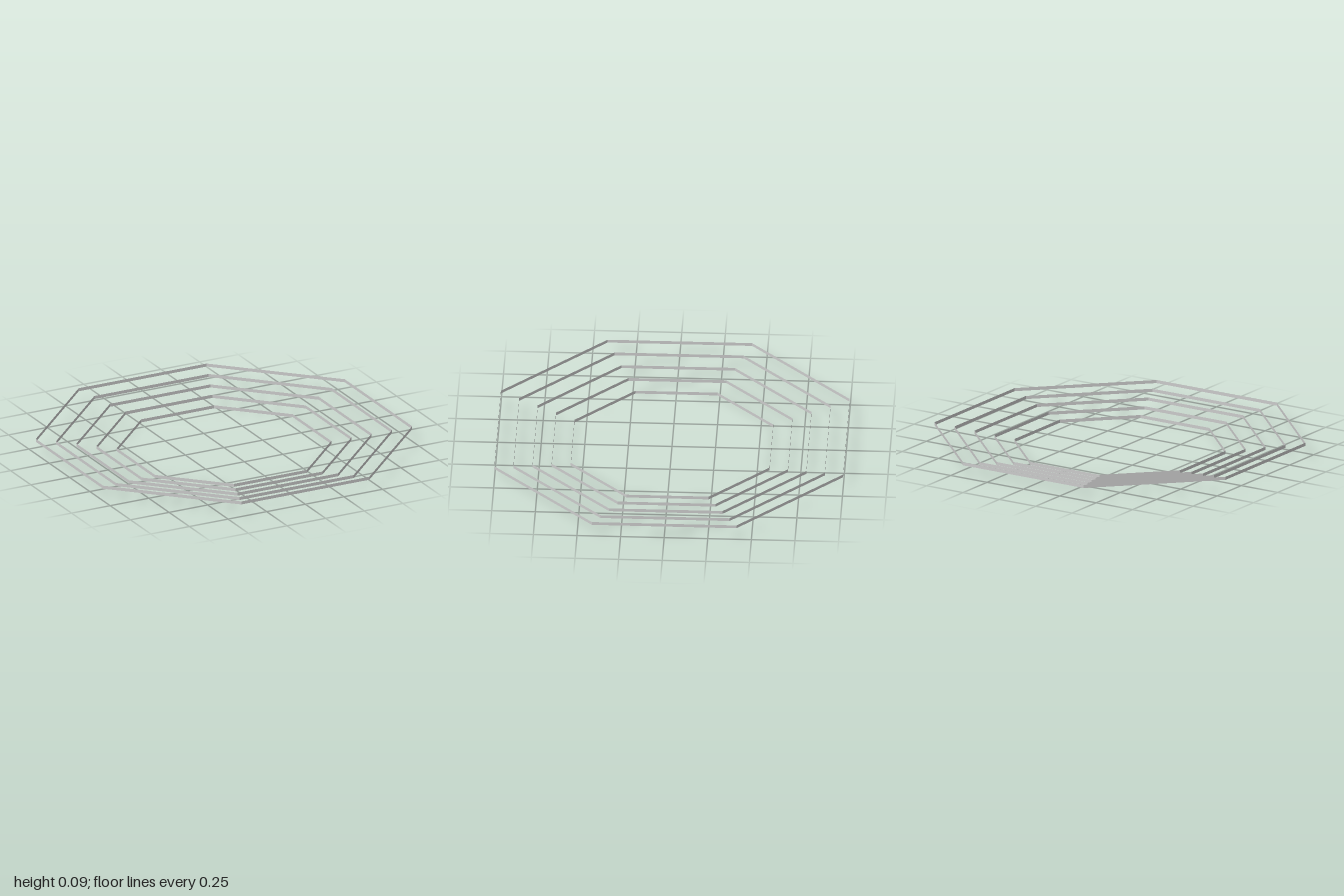
import * as THREE from 'three';

// Five concentric octagonal bands of paper-thin wall, stepping up and outward.
export function createModel() {
  const model = new THREE.Group();
  model.name = 'steppedOctagonRings';
  const material = new THREE.MeshStandardMaterial({
    color: 0xcccccc, flatShading: true, side: THREE.DoubleSide,
  });

  const count = 5;
  const bandHeight = 0.0186;
  const innerApothem = 0.57;
  const outerApothem = 1;

  for (let i = 0; i < count; i++) {
    const apothem = THREE.MathUtils.lerp(innerApothem, outerApothem, i / (count - 1));
    const radius = apothem / Math.cos(Math.PI / 8);
    // Start half a side round, so flat sides face the axes
    const geometry = new THREE.CylinderGeometry(
      radius, radius, bandHeight, 8, 1, true, Math.PI / 8);
    const ring = new THREE.Mesh(geometry, material);
    ring.name = `octagonRing${i + 1}`;
    ring.position.y = bandHeight * (i + 0.5);
    model.add(ring);
  }
  return model;
}
